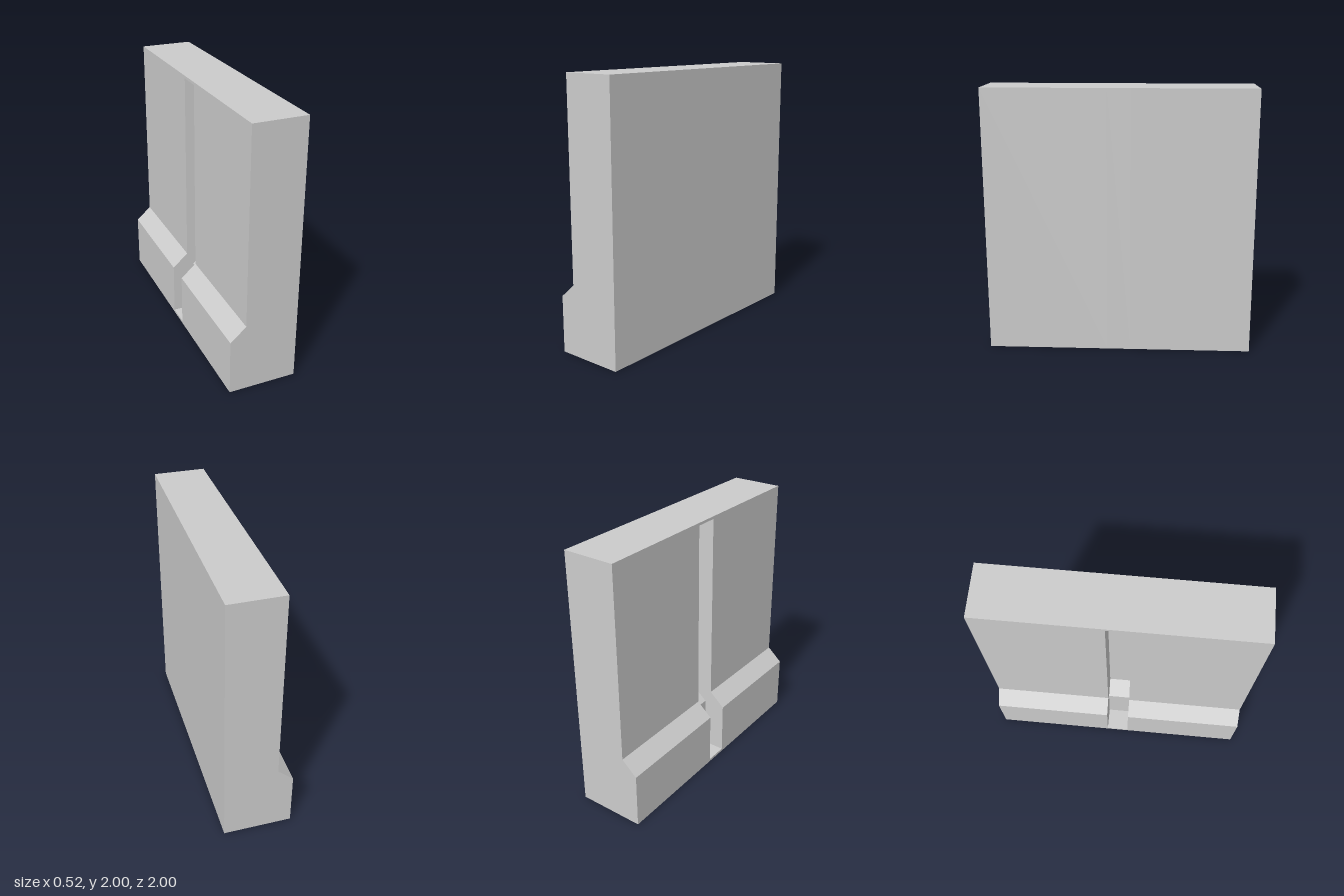
import * as THREE from 'three';

const X0 = -0.258, X1 = 0.258; // plinth face and flat face
const XW = -0.14;              // upper wall face
const Y1 = 0.425, Y2 = 0.53;   // bottom and top of the plinth chamfer
const DEPTH = 0.17;            // groove depth
const G = 0.087;               // half the groove width
const LIP = 0.02;              // thin closing lip at each end of the groove

// Cross-sections in x, y, counter-clockwise
const wall = [[X0, 0], [X1, 0], [X1, 2], [XW, 2], [XW, Y2], [X0, Y1]];
const grooveBack = [[XW + DEPTH, 2 - LIP], [XW + DEPTH, Y2], [X0 + DEPTH, Y1], [X0 + DEPTH, LIP]];
const cutWall = [[X0, 0], [X1, 0], [X1, 2], [XW, 2], [XW, 2 - LIP], ...grooveBack, [X0, LIP]];
const groove = [[X0, LIP], [X0 + DEPTH, LIP], [X0 + DEPTH, Y1], [XW + DEPTH, Y2],
  [XW + DEPTH, 2 - LIP], [XW, 2 - LIP], [XW, Y2], [X0, Y1]];

// Side faces of a cross-section swept from z0 to z1
function sweep(profile, z0, z1) {
  const out = [];
  profile.forEach((a, i) => {
    const b = profile[(i + 1) % profile.length];
    out.push(...a, z0, ...b, z0, ...b, z1, ...a, z0, ...b, z1, ...a, z1);
  });
  return out;
}

// Flat face at z, looking along +z or -z
function cap(profile, z, dir) {
  const pts = profile.map((p) => new THREE.Vector2(...p));
  return THREE.ShapeUtils.triangulateShape(pts, []).flatMap((t) =>
    (dir > 0 ? t : [t[0], t[2], t[1]]).flatMap((i) => [...profile[i], z]));
}

function part(name, positions) {
  const geo = new THREE.BufferGeometry();
  geo.setAttribute('position', new THREE.Float32BufferAttribute(positions, 3));
  geo.computeVertexNormals();
  const mesh = new THREE.Mesh(geo, new THREE.MeshStandardMaterial({ color: 0xcccccc, flatShading: true }));
  mesh.name = name;
  return mesh;
}

export function createModel() {
  const group = new THREE.Group();
  group.name = 'groovedWallPanel';
  // Two wall halves, each with an outer end and a groove cheek
  group.add(part('frontWallHalf', [...sweep(wall, G, 1), ...cap(wall, 1, 1), ...cap(groove, G, -1)]));
  group.add(part('backWallHalf', [...sweep(wall, -1, -G), ...cap(wall, -1, -1), ...cap(groove, -G, 1)]));
  // Strip between them, cut back to form the groove
  group.add(part('grooveStrip', sweep(cutWall, -G, G)));
  return group;
}
